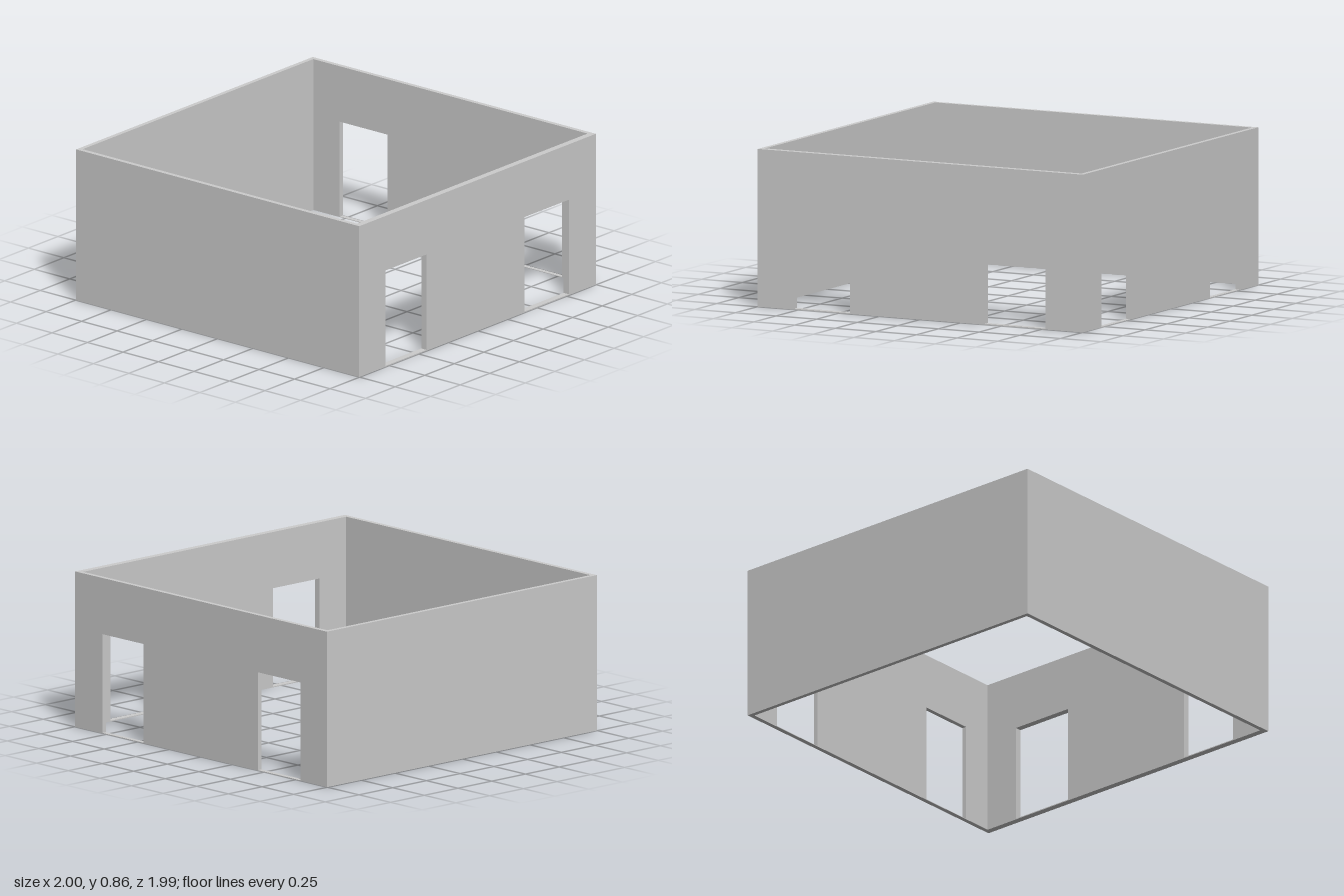
import * as THREE from 'three';

const HALF_X = 1, HALF_Z = 0.997, HEIGHT = 0.863;
const FRONT_T = 0.037, BACK_T = 0.025, SIDE_T = 0.026;

// Upright wall in the XY plane, extruded along +z; doors are [from, to, top] openings above a thin sill.
function wallGeometry(from, to, thickness, doors = [], sill = 0.005) {
  const shape = new THREE.Shape([
    new THREE.Vector2(from, 0), new THREE.Vector2(to, 0),
    new THREE.Vector2(to, HEIGHT), new THREE.Vector2(from, HEIGHT),
  ]);
  for (const [a, b, top] of doors) {
    shape.holes.push(new THREE.Path([
      new THREE.Vector2(a, sill), new THREE.Vector2(a, top),
      new THREE.Vector2(b, top), new THREE.Vector2(b, sill),
    ]));
  }
  return new THREE.ExtrudeGeometry(shape, { depth: thickness, bevelEnabled: false });
}

export function createModel() {
  const model = new THREE.Group();
  model.name = 'roomWalls';
  const material = new THREE.MeshStandardMaterial({ color: 0xcccccc });
  const add = (name, geometry) => {
    const mesh = new THREE.Mesh(geometry, material);
    mesh.name = name;
    model.add(mesh);
  };

  // Front wall with two doorways
  const frontDoors = [[-0.778, -0.431, 0.551], [0.398, 0.772, 0.546]];
  add('frontWall', wallGeometry(-HALF_X, HALF_X, FRONT_T, frontDoors)
    .translate(0, 0, HALF_Z - FRONT_T));

  // Solid back wall
  add('backWall', wallGeometry(-HALF_X, HALF_X, BACK_T).translate(0, 0, -HALF_Z));

  // Side walls fit between front and back; the local x axis becomes -z after turning
  const from = -HALF_Z + FRONT_T, to = HALF_Z - BACK_T;
  const sideDoors = [[-0.781, -0.455, 0.551], [0.449, 0.786, 0.546]];
  add('doorSideWall', wallGeometry(from, to, SIDE_T, sideDoors, 0.003)
    .rotateY(Math.PI / 2).translate(HALF_X - SIDE_T, 0, 0));
  add('solidSideWall', wallGeometry(from, to, SIDE_T)
    .rotateY(Math.PI / 2).translate(-HALF_X, 0, 0));

  return model;
}
